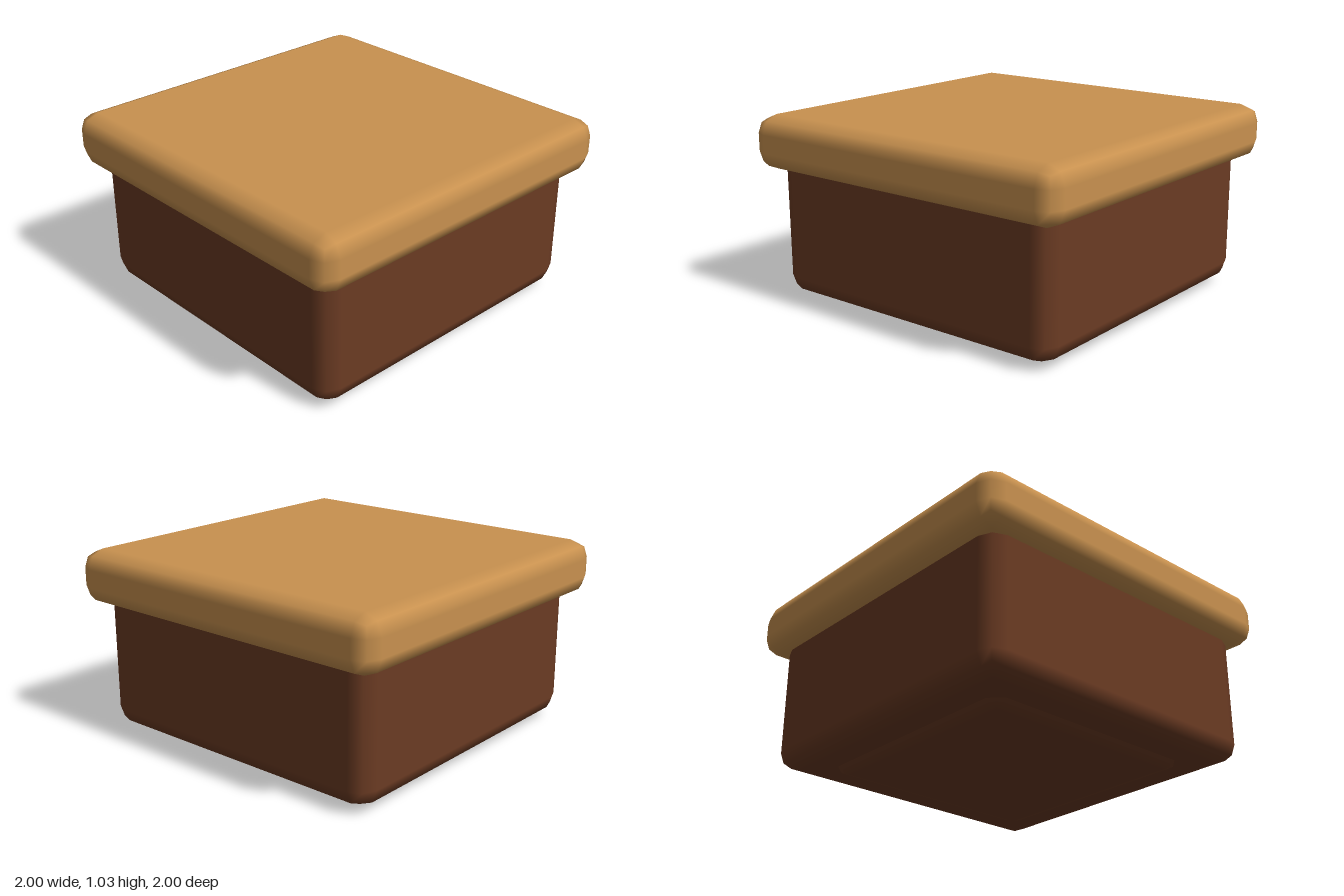
import * as THREE from 'three';
import { RoundedBoxGeometry } from 'three/addons/geometries/RoundedBoxGeometry.js';

const lightWood = new THREE.MeshStandardMaterial({ color: 0xc8914f });
lightWood.name = 'lightWood';
const darkWood = new THREE.MeshStandardMaterial({ color: 0x6b3b23 });
darkWood.name = 'darkWood';

// Square block with coarse, smooth-shaded rounded edges, from bottom to top height
function block(name, width, bottom, top, material) {
  const geometry = new RoundedBoxGeometry(width, top - bottom, width, 1, 0.1);
  const mesh = new THREE.Mesh(geometry, material);
  mesh.name = name;
  mesh.position.y = (bottom + top) / 2;
  return mesh;
}

export function createModel() {
  const model = new THREE.Group();
  model.name = 'box';
  model.add(
    block('foot', 1.4, 0, 0.25, darkWood), // shallow foot sunk into the body
    block('body', 1.8, 0.03, 0.93, darkWood), // box, its top hidden in the lid
    block('lid', 2, 0.73, 1.03, lightWood) // overhanging lid
  );
  return model;
}
